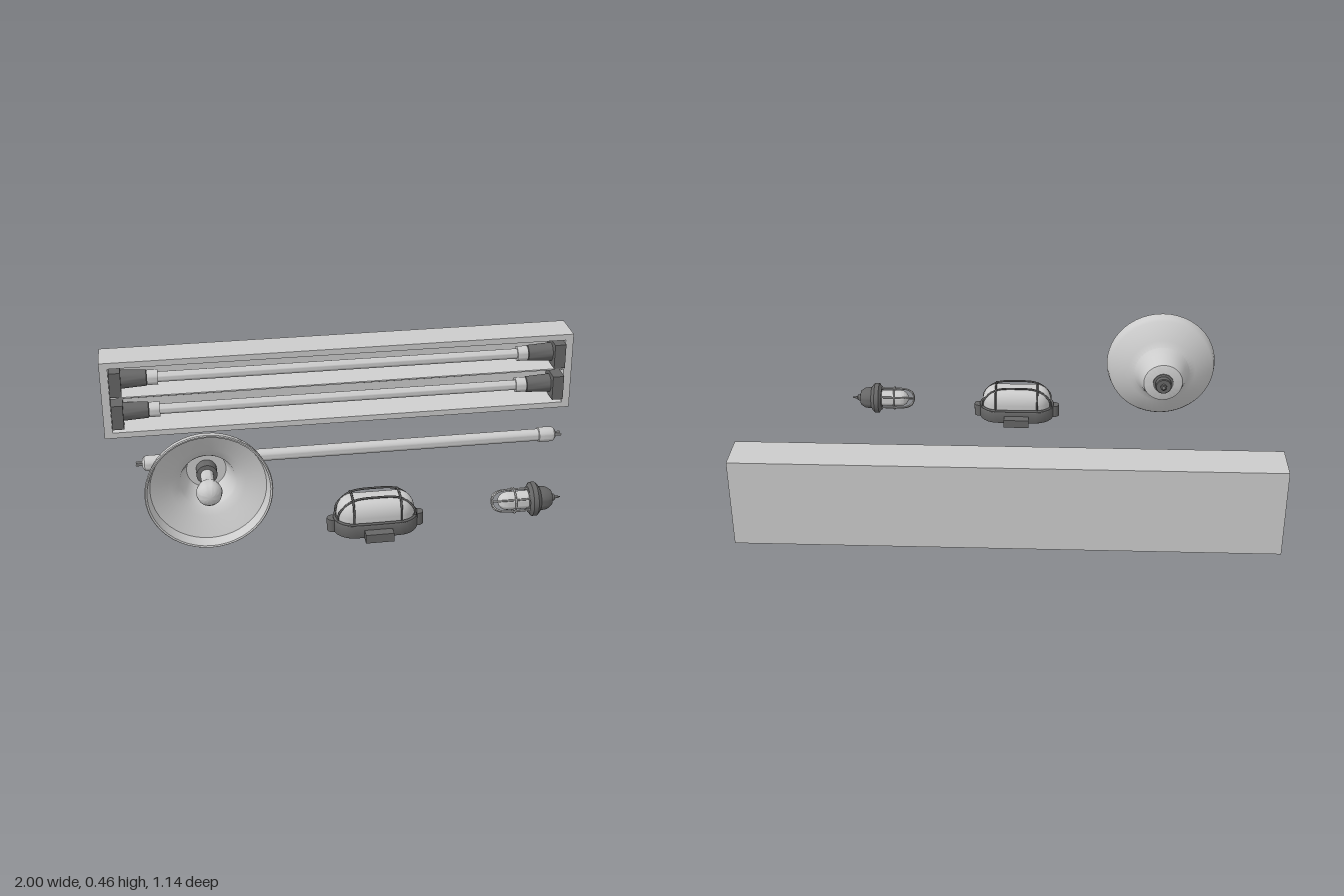
import * as THREE from 'three';
import { toCreasedNormals } from 'three/addons/utils/BufferGeometryUtils.js';

const light = new THREE.MeshStandardMaterial({ color: 0xcccccc });
const dark = new THREE.MeshStandardMaterial({ color: 0x666666 });
const V = (x, y, z) => new THREE.Vector3(x, y, z);

function add(parent, name, geometry, material = light, x = 0, y = 0, z = 0) {
  const mesh = new THREE.Mesh(geometry, material);
  mesh.name = name;
  mesh.position.set(x, y, z);
  parent.add(mesh);
  return mesh;
}
function group(parent, name, x, y, z) {
  const g = new THREE.Group();
  g.name = name;
  g.position.set(x, y, z);
  parent.add(g);
  return g;
}
// profile of [radius, distance along axis], turned about x or z
function turned(profile, axis, segments = 32) {
  const g = new THREE.LatheGeometry(profile.map(p => new THREE.Vector2(...p)), segments);
  if (axis === 'x') g.rotateZ(-Math.PI / 2); else g.rotateX(Math.PI / 2);
  return toCreasedNormals(g, 0.6);
}
function rod(points, radius, closed = false) {
  const curve = new THREE.CatmullRomCurve3(points, closed, 'centripetal');
  return new THREE.TubeGeometry(curve, points.length * 4, radius, 6, closed);
}
// half-round profile points used for glass ends
const domePoints = (r, start, length) => Array.from({ length: 9 }, (_, i) => {
  const a = i / 8 * Math.PI / 2;
  return [Math.max(r * Math.sin(a), 0.0001), start + length * (1 - Math.cos(a))];
});

// stadium outline: straight length 2h along x, round ends of radius r
function stadiumPoints(h, r, n = 12) {
  const pts = [];
  for (const side of [1, -1]) for (let i = 0; i <= n; i++) {
    const a = side * Math.PI / 2 - Math.PI + i / n * Math.PI;
    pts.push(new THREE.Vector2(side * h + r * Math.cos(a), r * Math.sin(a)));
  }
  return pts;
}
function stadiumSolid(h, r, height, bevel, bevelHeight) {
  const g = new THREE.ExtrudeGeometry(new THREE.Shape(stadiumPoints(h, r - bevel)), {
    depth: height, bevelSize: bevel, bevelThickness: bevelHeight, bevelSegments: 8,
  });
  return toCreasedNormals(g.rotateX(-Math.PI / 2), 0.6);
}

// long tray with two reflector troughs, tubes and sockets
function buildFixture(root) {
  const g = group(root, 'twinTubeFixture', 0, 0, 0);
  const profile = [[-0.57, 0.005], [-0.415, 0.005], [-0.415, 0.03], [-0.435, 0.035],
    [-0.51, 0.07], [-0.51, 0.14], [-0.43, 0.178], [-0.43, 0.184], [-0.51, 0.22],
    [-0.51, 0.29], [-0.435, 0.317], [-0.415, 0.322], [-0.415, 0.348], [-0.57, 0.348]];
  const shape = new THREE.Shape(profile.map(([z, y]) => new THREE.Vector2(-z, y)));
  const tray = new THREE.ExtrudeGeometry(shape, { depth: 1.94, bevelEnabled: false });
  add(g, 'reflectorTray', tray.translate(0, 0, -0.97).rotateY(Math.PI / 2));
  for (const s of [1, -1])
    add(g, 'endWall', new THREE.BoxGeometry(0.034, 0.343, 0.155), light, s * 0.983, 0.1765, -0.4925);
  for (const y of [0.107, 0.255]) {
    add(g, 'fittedTube', turned([[0.022, -0.85], [0.022, 0.85]], 'x', 24), light, 0, y, -0.458);
    for (const s of [1, -1]) {
      add(g, 'tubeSocket', new THREE.BoxGeometry(0.048, 0.108, 0.13), dark, s * 0.94, y, -0.46);
      const cap = turned([[0.001, 0.765], [0.03, 0.765], [0.03, 0.81], [0.034, 0.812],
        [0.04, 0.92], [0.001, 0.92]], 'x', 24);
      add(g, 'socketSleeve', cap, dark, 0, y, -0.458).rotation.y = s > 0 ? 0 : Math.PI;
      const collar = turned([[0.0225, 0.764], [0.032, 0.764], [0.032, 0.808]], 'x', 24);
      add(g, 'tubeCollar', collar, light, 0, y, -0.458).rotation.y = s > 0 ? 0 : Math.PI;
    }
  }
}

// loose tube lying on the floor
function buildLooseTube(root) {
  const g = group(root, 'looseTube', 0, 0.035, -0.118);
  add(g, 'glassTube', turned([[0.025, -0.8], [0.025, 0.8]], 'x', 24));
  for (const s of [1, -1]) {
    const end = group(g, 'tubeEnd', 0, 0, 0);
    if (s < 0) end.rotation.y = Math.PI;
    add(end, 'endCap', turned([[0.024, 0.775], [0.031, 0.777], [0.031, 0.83], [0.028, 0.84],
      [0.018, 0.848], [0.0001, 0.85]], 'x', 24));
    for (const z of [0.011, -0.011])
      add(end, 'pin', turned([[0.005, 0.84], [0.005, 0.873], [0.0001, 0.875]], 'x', 10), light, 0, 0, z);
  }
}

// wide round shade facing forward
function buildPendant(root) {
  const g = group(root, 'pendantLamp', -0.612, 0.233, 0);
  add(g, 'shade', turned([[0.001, 0.323], [0.072, 0.323], [0.08, 0.327], [0.1, 0.39],
    [0.115, 0.42], [0.14, 0.434], [0.213, 0.467], [0.222, 0.48], [0.228, 0.512], [0.225, 0.516],
    [0.219, 0.514], [0.208, 0.475], [0.135, 0.444], [0.106, 0.428], [0.1, 0.42], [0.09, 0.39],
    [0.072, 0.335], [0.001, 0.333]], 'z', 48));
  add(g, 'neck', turned([[0.001, 0.29], [0.03, 0.29], [0.033, 0.294], [0.033, 0.317],
    [0.042, 0.319], [0.042, 0.324]], 'z'), dark);
  add(g, 'cableGland', turned([[0.001, 0.26], [0.004, 0.264], [0.008, 0.278], [0.013, 0.28],
    [0.013, 0.292]], 'z', 16), dark);
  add(g, 'bulb', turned([[0.024, 0.33], [0.024, 0.43], [0.03, 0.465], [0.042, 0.49], [0.047, 0.511],
    [0.042, 0.534], [0.032, 0.547], [0.018, 0.555], [0.0001, 0.558]], 'z'));
  add(g, 'bulbHolder', turned([[0.038, 0.33], [0.038, 0.38], [0.02, 0.384]], 'z'), dark);
}

// oval lamp with a wire guard
function buildBulkhead(root) {
  const g = group(root, 'bulkheadLamp', -0.004, 0, 0.452);
  add(g, 'base', stadiumSolid(0.08, 0.078, 0.044, 0.004, 0.004), dark, 0, 0.006, 0);
  add(g, 'mountingBar', new THREE.BoxGeometry(0.104, 0.034, 0.228), dark, 0, 0.018, 0);
  add(g, 'glassDome', stadiumSolid(0.08, 0.065, 0.01, 0.045, 0.06), light, 0, 0.066, 0);
  const rim = stadiumPoints(0.08, 0.073).map(p => V(p.x, 0.058, p.y));
  add(g, 'guardRim', rod(rim, 0.005, true), dark);
  for (const s of [1, -1]) {
    const lug = new THREE.CylinderGeometry(0.021, 0.021, 0.05, 16);
    add(g, 'endLug', lug, dark, s * 0.16, 0.03, 0);
    const cross = [[-0.072, 0.05], [-0.07, 0.09], [-0.05, 0.132], [0, 0.144], [0.05, 0.132],
      [0.07, 0.09], [0.072, 0.05]].map(([z, y]) => V(s * 0.088, y, z));
    add(g, 'crossWire', rod(cross, 0.004), dark);
    const long = [[-0.145, 0.05], [-0.14, 0.09], [-0.09, 0.136], [0, 0.146], [0.09, 0.136],
      [0.14, 0.09], [0.145, 0.05]].map(([x, y]) => V(x, y, s * 0.036));
    add(g, 'longWire', rod(long, 0.004), dark);
  }
}

// small lamp lying on its side, with a cage over the glass
function buildCageLamp(root) {
  const g = group(root, 'cageLamp', 0, 0.07, 0.457);
  add(g, 'housing', turned([[0.001, 0.574], [0.05, 0.574], [0.054, 0.58], [0.064, 0.585],
    [0.064, 0.603], [0.056, 0.612], [0.046, 0.618], [0.043, 0.645], [0.03, 0.664],
    [0.014, 0.667], [0.012, 0.678], [0.006, 0.681], [0.002, 0.7], [0.0001, 0.7]], 'x'), dark);
  add(g, 'glass', turned([...domePoints(0.034, 0.46, 0.035), [0.034, 0.58]], 'x', 24));
  for (let i = 0; i < 6; i++) {
    const wire = [[0.58, 0.047], [0.5, 0.047], [0.465, 0.042], [0.445, 0.028], [0.438, 0.01]]
      .map(([x, r]) => V(x, r, 0));
    add(g, 'cageWire', rod(wire, 0.0035)).rotation.x = i * Math.PI / 3;
  }
  for (const [x, r] of [[0.52, 0.047], [0.438, 0.01]])
    add(g, 'cageRing', new THREE.TorusGeometry(r, 0.0035, 6, 32).rotateY(Math.PI / 2), light, x);
}

export function createModel() {
  const root = new THREE.Group();
  root.name = 'industrialLampSet';
  buildFixture(root);
  buildLooseTube(root);
  buildPendant(root);
  buildBulkhead(root);
  buildCageLamp(root);
  return root;
}
